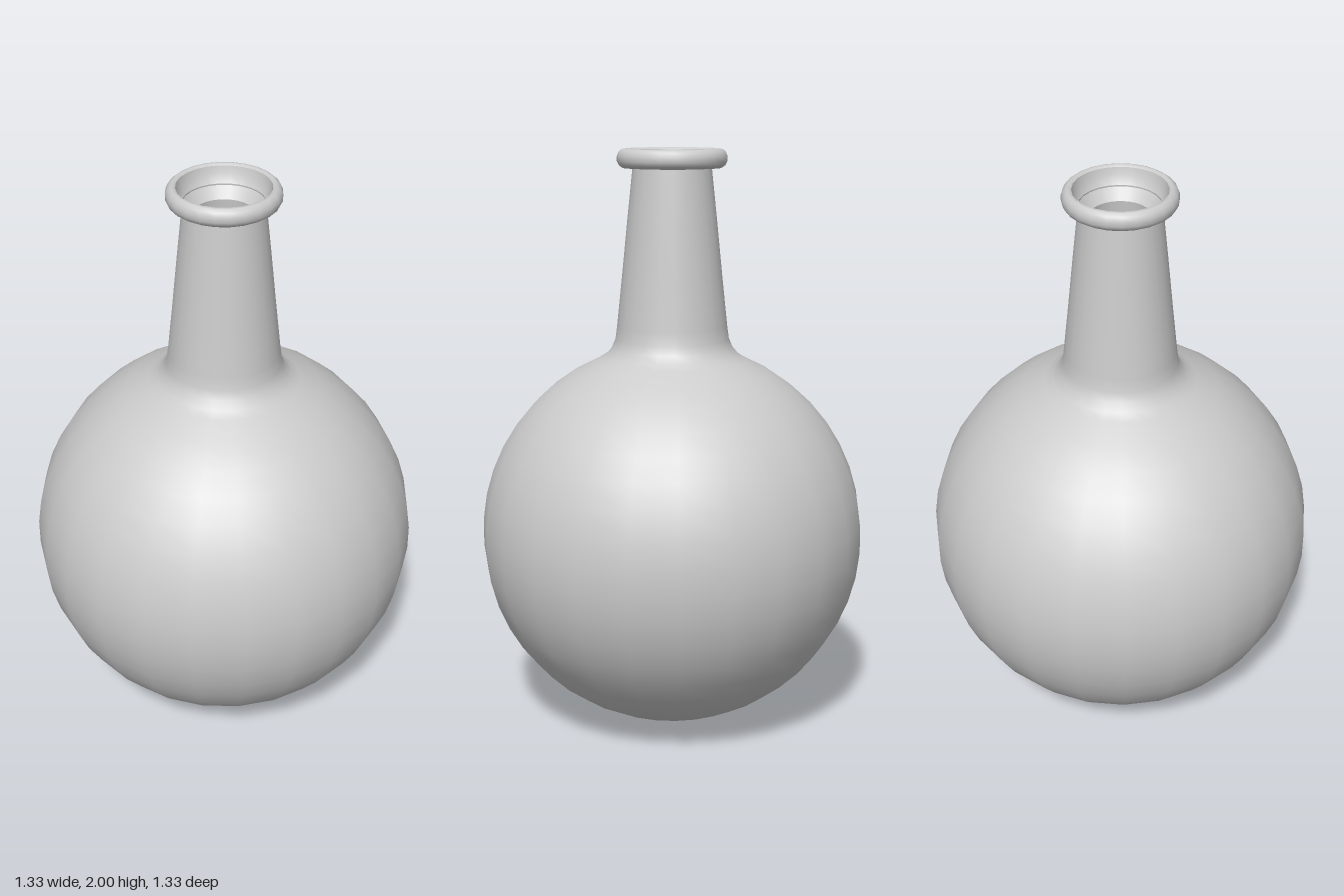
import * as THREE from 'three';

const SIDES = 24;
const CENTRE = 0.667; // height of the bulb's centre

export function createModel() {
  const group = new THREE.Group();
  group.name = 'flask';
  const material = new THREE.MeshStandardMaterial({ color: 0xcccccc, side: THREE.DoubleSide });

  // Revolve a list of [radius, height] pairs
  const lathe = (name, points) => {
    const profile = points.map(([r, y]) => new THREE.Vector2(r, y));
    const mesh = new THREE.Mesh(new THREE.LatheGeometry(profile, SIDES), material);
    mesh.name = name;
    group.add(mesh);
  };

  // Arc of the bulb from the bottom pole up to a given radius at the shoulder
  const bulbArc = (radius, endRadius, steps) => {
    const end = Math.PI - Math.asin(endRadius / radius);
    return Array.from({ length: steps + 1 }, (_, i) => {
      const a = (end * i) / steps;
      return [radius * Math.sin(a), CENTRE - radius * Math.cos(a)];
    });
  };

  // Outer wall: round bulb, small fillet, tapering neck
  lathe('bulbAndNeck', [
    ...bulbArc(0.667, 0.26, 20),
    [0.23, 1.3], [0.209, 1.325], [0.196, 1.355], [0.19, 1.4],
    [0.172, 1.57], [0.153, 1.76], [0.134, 1.94],
  ]);

  // Inner wall, listed from the mouth down so that it faces the cavity
  lathe('innerWall', [
    ...bulbArc(0.63, 0.21, 16),
    [0.175, 1.3], [0.157, 1.35], [0.15, 1.4], [0.1, 1.9],
  ].reverse());

  // Rounded lip with a flared mouth running down to the inner wall
  lathe('lip', [
    [0.134, 1.938], [0.15, 1.935], [0.168, 1.936], [0.18, 1.944],
    [0.187, 1.958], [0.187, 1.975], [0.181, 1.989], [0.171, 1.998],
    [0.162, 2.0], [0.154, 1.994],
  ]);
  lathe('mouth', [[0.154, 1.994], [0.149, 1.97], [0.135, 1.935], [0.1, 1.9]]);

  return group;
}
